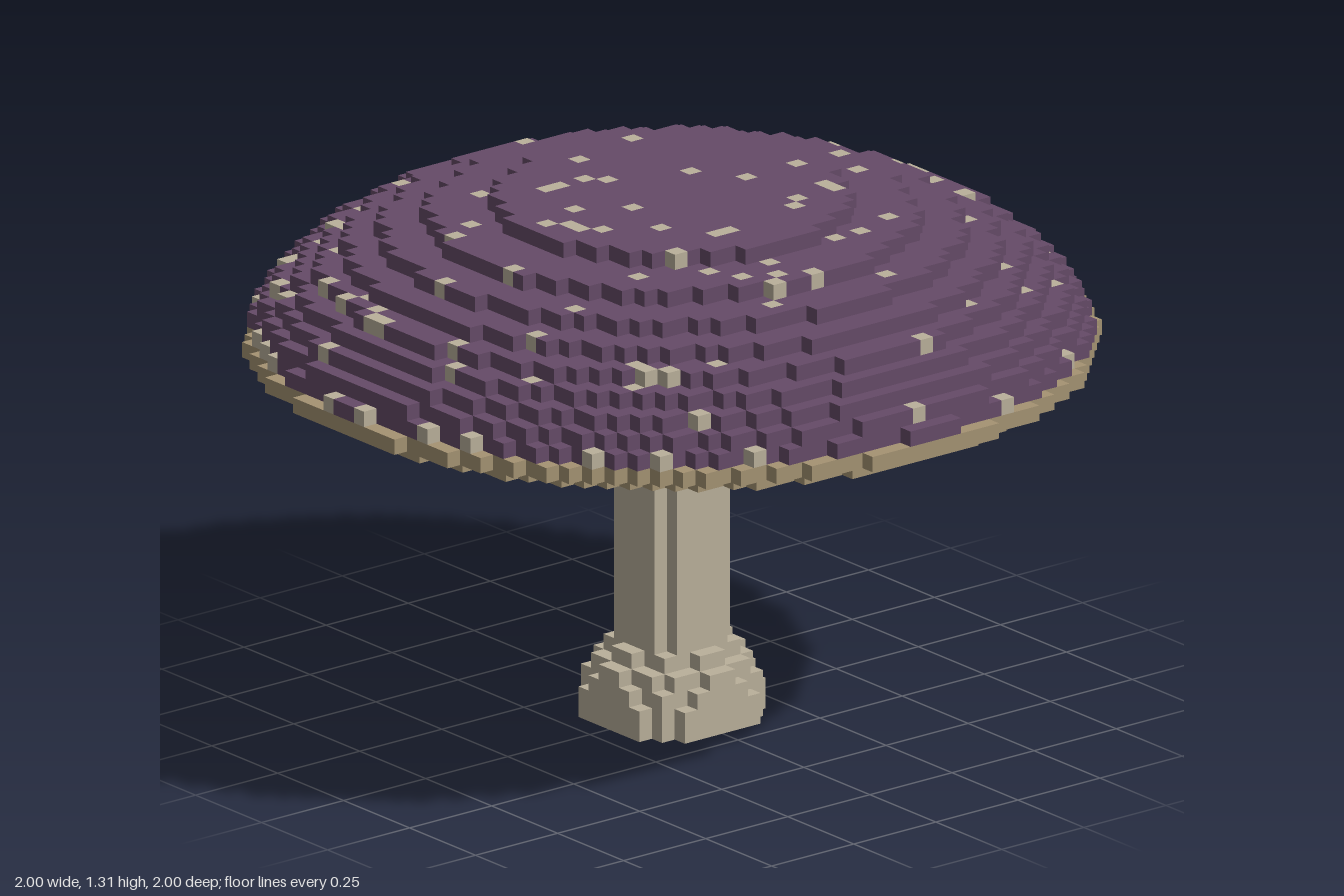
import * as THREE from 'three';

const UNIT = 2 / 52;          // edge of one block
const HALF = 26, TOP = 34;    // grid extent in blocks

const mat = (name, color) => Object.assign(new THREE.MeshStandardMaterial({ color }), { name });

// Spots on the upper cap as block columns: x, z pairs
const SPOTS = [
  -3, -20, 1, -20, 4, -18, 8, -17, -2, -15, 1, -14, -5, -12, 0, -10, 4, -9, 5, -9, 9, -10, 10, -7,
  0, -6, 5, -6, -10, -5, -12, -4, -3, -4, 6, -5, 10, -5, 15, -5, -9, 0, -5, 1, -6, 2, -6, 4, -6, 5,
  0, 3, 7, 1, 7, 2, 4, 4, 11, 1, 13, 2, 14, 0, 12, 4, 14, 3, 15, 4, 8, 6, 8, 9, 10, 5, -2, 6,
  -10, 7, -14, 7, 1, 8, 0, 8, -1, 9, 2, 7, -6, 11, -5, 13, 2, 14, -1, 17, 8, 17, 8, 14, -6, 19,
  -3, 21, -20, 6, -19, 6, -21, -6, -20, -6, -18, -3, -15, -13, -15, -12, -18, 12, -17, 12, -18, 13,
  -19, 14, -19, 15, -11, -19, -10, -19, -11, -20, -8, -19,
];
const spotSet = new Set();
for (let n = 0; n < SPOTS.length; n += 2) spotSet.add(SPOTS[n] + ',' + SPOTS[n + 1]);

// Repeatable scatter value in 0..1 for a column
function scatter(i, j) {
  let h = Math.imul(i + 101, 374761393) ^ Math.imul(j + 57, 668265263);
  h = Math.imul(h ^ (h >>> 13), 1274126177);
  return ((h ^ (h >>> 16)) >>> 0) / 4294967296;
}

// Squared radius of the domed cap at a layer
const domeRadius2 = (k) => 676 * (1 - ((k - 23) ** 2) / 121);
// Squared radius of the stepped hollow beneath the cap
const hollow = { 23: 484, 24: 324, 25: 150 };

// Which part fills the block at column (i, j), layer k
function partAt(i, k, j) {
  if (k < 0 || k >= TOP) return null;
  const d = (i + 0.5) ** 2 + (j + 0.5) ** 2;
  if (k <= 4 && d <= 30.25 - k * k) return 'stemBase';
  if (k < 26 && d <= 9) return 'stem';
  if (k < 23 || d <= (hollow[k] ?? -1)) return null;
  if (k === 23) return d <= 576 ? 'gills' : null;
  if (k === 24) return d <= 676 ? 'gills' : null;
  if (d > domeRadius2(k)) return null;
  if ((k === 25 && d < 400) || (k === 26 && d < 200)) return 'gills';
  // Spots sit on the uppermost block of a column
  if (k + 1 === TOP || d > domeRadius2(k + 1)) {
    if (spotSet.has(i + ',' + j)) return 'capSpots';
    const chance = k === 25 ? 0.25 : d > 400 ? 0.06 : 0;
    if (scatter(i, j) < chance) return 'capSpots';
  }
  return 'cap';
}

// Six block sides: outward direction and two edge directions (u x v = outward)
const SIDES = [
  [[1, 0, 0], [0, 1, 0], [0, 0, 1]], [[-1, 0, 0], [0, 0, 1], [0, 1, 0]],
  [[0, 1, 0], [0, 0, 1], [1, 0, 0]], [[0, -1, 0], [1, 0, 0], [0, 0, 1]],
  [[0, 0, 1], [1, 0, 0], [0, 1, 0]], [[0, 0, -1], [0, 1, 0], [1, 0, 0]],
];
const CORNERS = [[-1, -1], [1, -1], [1, 1], [-1, 1]];

export function createModel() {
  const cream = mat('cream', 0xbab09b);
  const purple = mat('purple', 0x664b68);
  const tan = mat('tan', 0xa59373);
  const materials = { stemBase: cream, stem: cream, gills: tan, cap: purple, capSpots: cream };

  const parts = {};
  for (const name in materials) parts[name] = { position: [], normal: [], index: [] };

  // Collect the exposed sides of every block
  for (let k = 0; k < TOP; k++)
    for (let i = -HALF; i < HALF; i++)
      for (let j = -HALF; j < HALF; j++) {
        const name = partAt(i, k, j);
        if (!name) continue;
        const part = parts[name];
        const centre = [i + 0.5, k + 0.5, j + 0.5];
        for (const [n, u, v] of SIDES) {
          if (partAt(i + n[0], k + n[1], j + n[2])) continue;
          const first = part.position.length / 3;
          for (const [a, b] of CORNERS) {
            for (let c = 0; c < 3; c++)
              part.position.push((centre[c] + (n[c] + a * u[c] + b * v[c]) / 2) * UNIT);
            part.normal.push(...n);
          }
          part.index.push(first, first + 1, first + 2, first, first + 2, first + 3);
        }
      }

  const group = new THREE.Group();
  group.name = 'mushroom';
  for (const name in parts) {
    const { position, normal, index } = parts[name];
    const geometry = new THREE.BufferGeometry();
    geometry.setAttribute('position', new THREE.Float32BufferAttribute(position, 3));
    geometry.setAttribute('normal', new THREE.Float32BufferAttribute(normal, 3));
    geometry.setIndex(index);
    const mesh = new THREE.Mesh(geometry, materials[name]);
    mesh.name = name;
    group.add(mesh);
  }
  return group;
}
